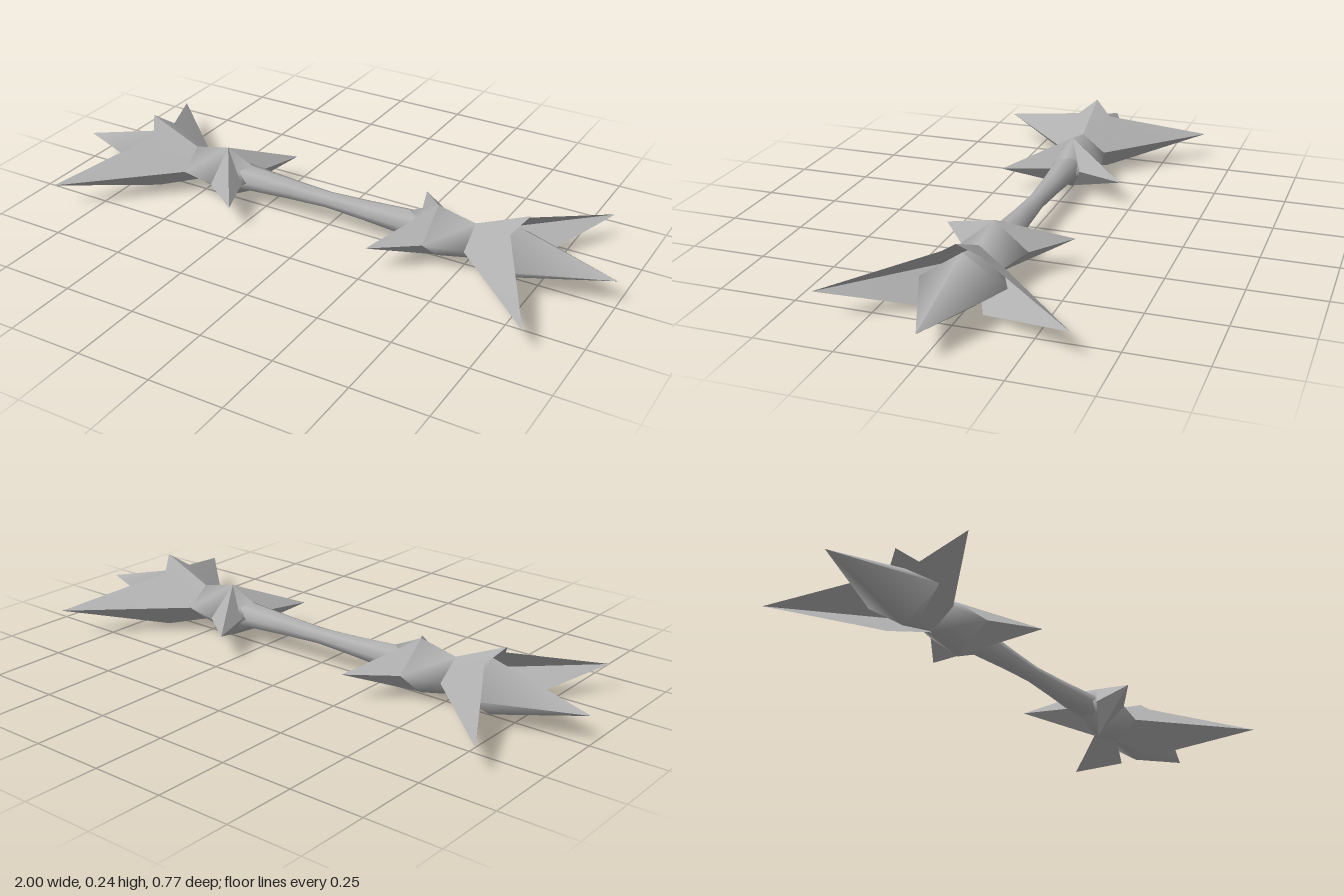
import * as THREE from 'three';
import { toCreasedNormals } from 'three/addons/utils/BufferGeometryUtils.js';

const AXIS = 0.096; // height of the long axis
const steel = new THREE.MeshStandardMaterial({ color: 0xb0b0b0, side: THREE.DoubleSide });
steel.name = 'grey steel';

function build(name, points, faces, crease) {
  let geo = new THREE.BufferGeometry();
  geo.setAttribute('position', new THREE.Float32BufferAttribute(points.flat(), 3));
  geo.setIndex(faces.flat());
  geo.computeVertexNormals();
  if (crease) geo = toCreasedNormals(geo, crease);
  const mesh = new THREE.Mesh(geo, steel);
  mesh.name = name;
  return mesh;
}

// Smooth skin along x through rings of [x, half height, half depth]
function loft(name, rings, sides) {
  const points = [], faces = [];
  rings.forEach(([x, ry, rz], k) => {
    for (let i = 0; i < sides; i++) {
      const a = (i / sides) * Math.PI * 2;
      points.push([x, AXIS + ry * Math.cos(a), rz * Math.sin(a)]);
      if (k === rings.length - 1) continue;
      const p = k * sides + i, q = k * sides + ((i + 1) % sides);
      faces.push([p, q, p + sides], [q, q + sides, p + sides]);
    }
  });
  return build(name, points, faces);
}

// Part built on the front side, or mirrored to the back
function sided(name, points, faces, s, crease) {
  return build(name, points.map(([x, y, z]) => [x, y, z * s]),
    s > 0 ? faces : faces.map(([a, b, c]) => [a, c, b]), crease);
}

function createEnd() {
  const end = new THREE.Group();

  // Diamond knuckle in two sharp-edged sections
  end.add(loft('knuckleFlare', [[0.3, 0.045, 0.045], [0.4, 0.092, 0.11]], 4));
  end.add(loft('knuckleCollar', [[0.4, 0.092, 0.11], [0.53, 0.063, 0.08]], 4));

  // Long central spike with its hidden root
  end.add(loft('spikeRoot', [[0.53, 0.06, 0.075], [0.66, 0.094, 0.137]], 4));
  end.add(loft('centreSpike', [[0.66, 0.094, 0.137], [1, 0, 0]], 4));

  for (const s of [1, -1]) {
    // Short prong sweeping back toward the grip
    end.add(sided('backProng', [
      [0.4, 0.188, 0], [0.4, 0.006, 0], [0.4, AXIS, 0.11],
      [0.315, AXIS, 0.045], [0.255, AXIS, 0.215],
    ], [[0, 4, 2], [0, 3, 4], [1, 2, 4], [1, 4, 3]], s, 0.7));

    // Large open wing blade with half of the top peak
    end.add(sided('wingBlade', [
      [0.53, 0.159, 0], [0.71, 0.237, 0], [0.67, 0.19, 0.06],
      [0.53, AXIS, 0.08], [0.855, AXIS, 0.385],
      [0.53, 0.033, 0], [0.66, 0.001, 0.06],
    ], [[0, 2, 1], [0, 3, 2], [3, 4, 2], [5, 6, 3], [3, 6, 4]], s, 1.3));
  }
  return end;
}

export function createModel() {
  const model = new THREE.Group();
  model.name = 'doubleEndedSpikedStaff';

  // Grip with a narrow waist
  const grip = [[0.33, 0.048], [0.3, 0.045], [0.15, 0.035], [0, 0.028]];
  const rings = [
    ...grip.map(([x, r]) => [-x, r, r]),
    ...grip.slice(0, -1).reverse().map(([x, r]) => [x, r, r]),
  ];
  model.add(loft('grip', rings, 8));

  // Matching heads at both ends
  const left = createEnd(), right = createEnd();
  left.name = 'leftHead';
  right.name = 'rightHead';
  right.rotation.y = Math.PI;
  model.add(left, right);
  return model;
}
